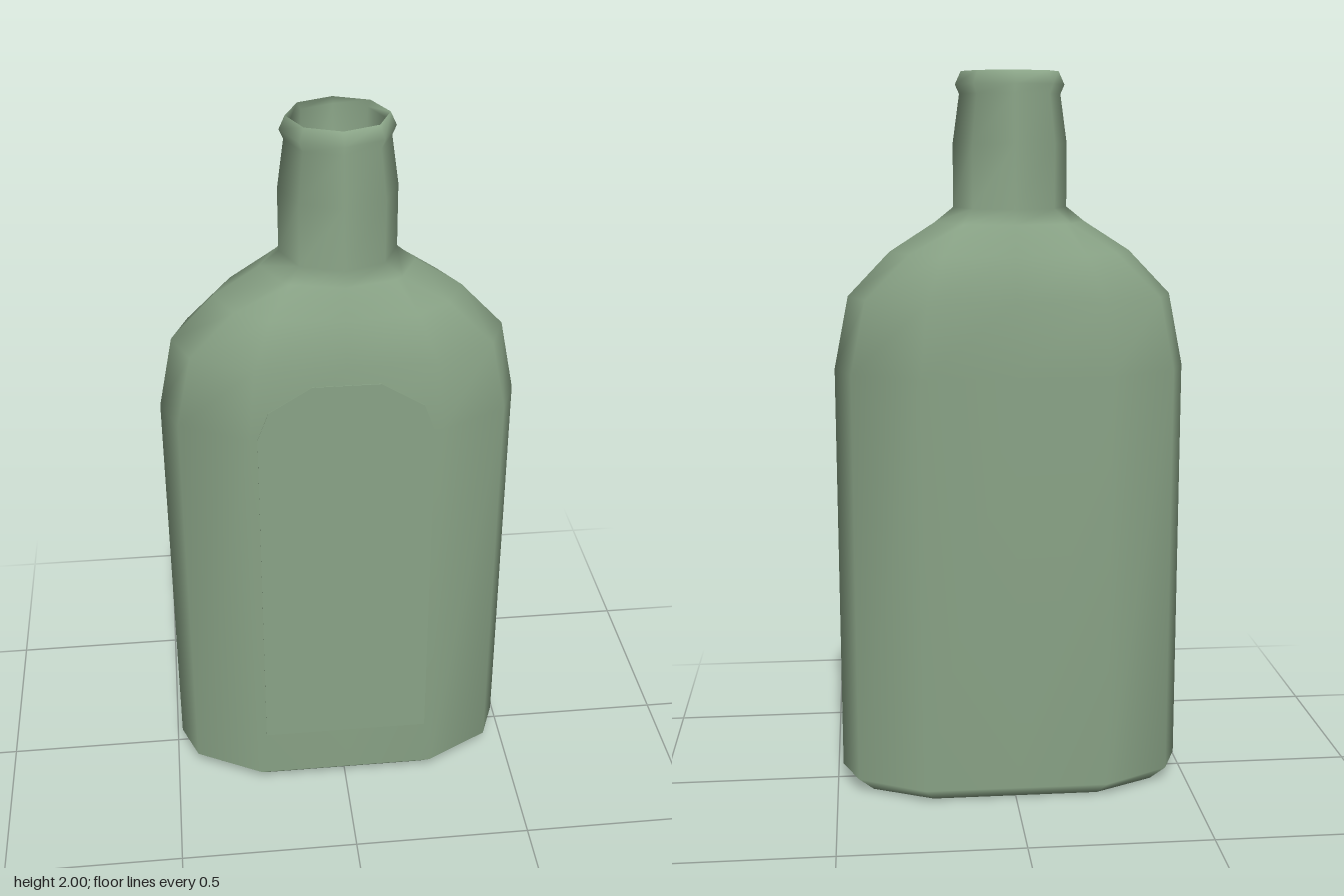
import * as THREE from 'three';
import { mergeVertices } from 'three/addons/utils/BufferGeometryUtils.js';

// Quarter outlines: flattened body and octagonal neck
const BODY = [[1, 0], [0.907, 0.535], [0.526, 1], [0, 1]];
const NECK = [[1, 0], [0.707, 0.707], [0.707, 0.707], [0, 1]];
const QUARTER = [0, 1, 2, 3, 2, 1, 0, 1, 2, 3, 2, 1];

// Smooth skin through sections [y, half width, half depth, blend to neck]
function loft(sections) {
  const positions = [], index = [], n = QUARTER.length;
  for (const [y, w, d, t] of sections) {
    QUARTER.forEach((k, i) => {
      const x = THREE.MathUtils.lerp(BODY[k][0], NECK[k][0], t);
      const z = THREE.MathUtils.lerp(BODY[k][1], NECK[k][1], t);
      positions.push((i < 3 || i > 9 ? x : -x) * w, y, (i < 6 ? z : -z) * d);
    });
  }
  for (let r = 0; r < sections.length - 1; r++) {
    for (let i = 0; i < n; i++) {
      const a = r * n + i, b = r * n + (i + 1) % n;
      index.push(a, a + n, b, b, a + n, b + n);
    }
  }
  const geometry = new THREE.BufferGeometry();
  geometry.setAttribute('position', new THREE.Float32BufferAttribute(positions, 3));
  geometry.setIndex(index);
  const merged = mergeVertices(geometry);
  merged.computeVertexNormals();
  return merged;
}

export function createModel() {
  const group = new THREE.Group();
  const glass = new THREE.MeshStandardMaterial({ color: 0x8aa487 });
  glass.name = 'green glass';

  // Flask with hollowed base, sloping shoulders, neck, rolled lip and inner bore
  const bottle = new THREE.Mesh(loft([
    [0.04, 0, 0, 0],
    [0.035, 0.2, 0.07, 0],
    [0, 0.37, 0.135, 0],
    [0, 0.44, 0.175, 0],
    [0.04, 0.485, 0.215, 0],
    [1.2, 0.485, 0.215, 0],
    [1.4, 0.445, 0.215, 0.05],
    [1.52, 0.33, 0.183, 0.3],
    [1.6, 0.205, 0.16, 0.75],
    [1.64, 0.155, 0.148, 1],
    [1.81, 0.155, 0.155, 1],
    [1.94, 0.137, 0.137, 1],
    [1.965, 0.148, 0.148, 1],
    [2, 0.132, 0.132, 1],
    [1.985, 0.12, 0.12, 1],
    [1.7, 0.12, 0.12, 1],
    [1.7, 0, 0, 1],
  ]), glass);
  bottle.name = 'bottle';
  group.add(bottle);

  // Thin arched label panel on the flat front
  const half = [[0.235, 0.185], [0.235, 1.2], [0.205, 1.28], [0.09, 1.35]];
  const outline = [...half, ...half.map(([x, y]) => [-x, y]).reverse()];
  const shape = new THREE.Shape(outline.map(([x, y]) => new THREE.Vector2(x, y)));
  const label = new THREE.Mesh(
    new THREE.ExtrudeGeometry(shape, { depth: 0.005, bevelEnabled: false }), glass);
  label.name = 'labelPanel';
  label.position.z = 0.212;
  group.add(label);

  return group;
}
